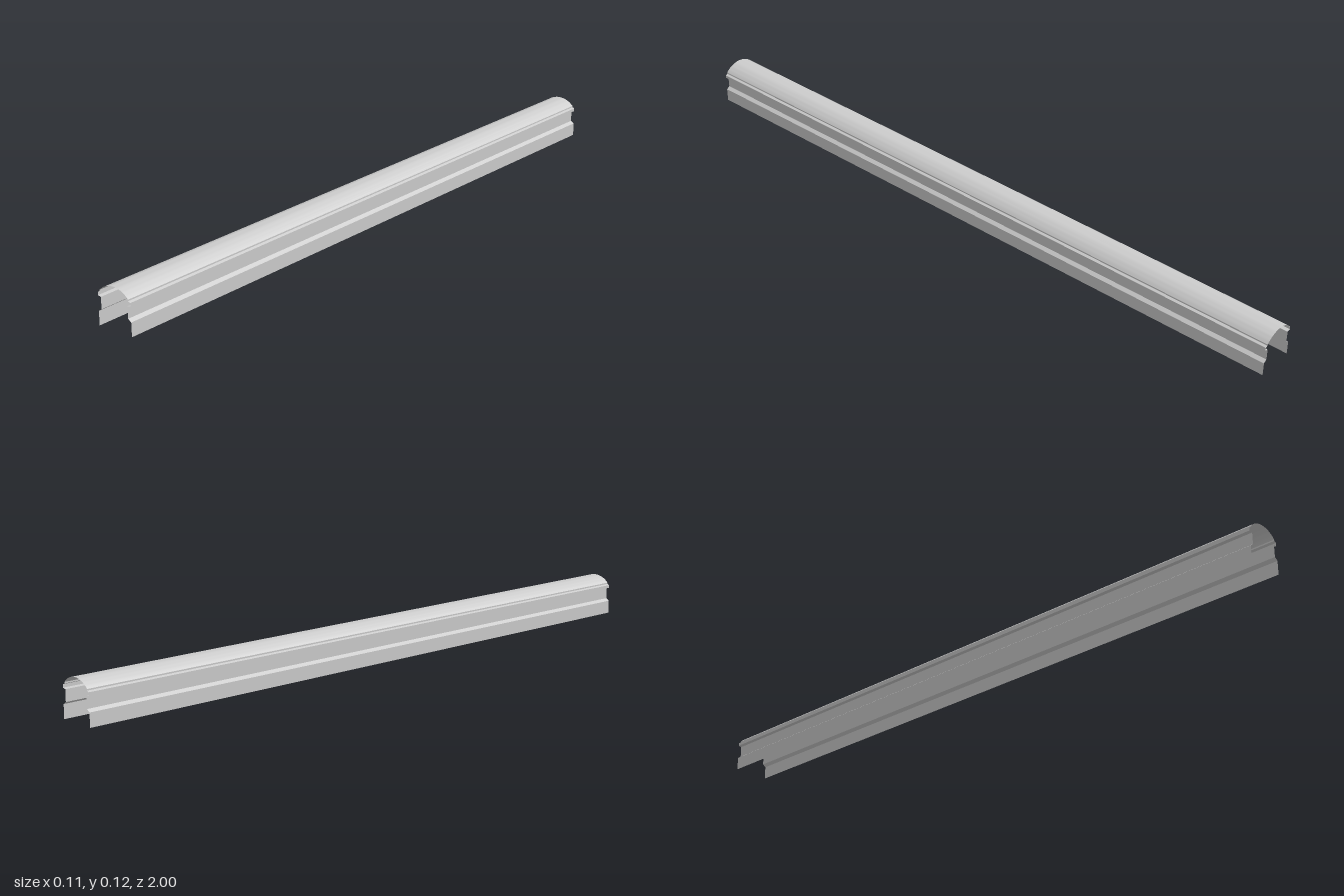
import * as THREE from 'three';
import { toCreasedNormals } from 'three/addons/utils/BufferGeometryUtils.js';

const LENGTH = 2;
const material = new THREE.MeshStandardMaterial({ color: 0xcccccc, side: THREE.DoubleSide });

// Thin open sheet: a cross-section [x, y] swept along z
function sheet(name, profile) {
  const positions = [];
  const index = [];
  profile.forEach(([x, y], i) => {
    positions.push(x, y, LENGTH / 2, x, y, -LENGTH / 2);
    if (i > 0) {
      const a = (i - 1) * 2;
      index.push(a, a + 1, a + 3, a, a + 3, a + 2);
    }
  });
  const geometry = new THREE.BufferGeometry();
  geometry.setAttribute('position', new THREE.Float32BufferAttribute(positions, 3));
  geometry.setIndex(index);
  const mesh = new THREE.Mesh(toCreasedNormals(geometry, 0.4), material);
  mesh.name = name;
  return mesh;
}

export function createModel() {
  const group = new THREE.Group();
  group.name = 'channelCover';

  // Side wall: skirt, sloped ledge, recessed web, lip and small groove under the roof
  const side = [
    [0.056, 0], [0.056, 0.039], [0.046, 0.046], [0.046, 0.079],
    [0.056, 0.081], [0.056, 0.09], [0.049, 0.093], [0.049, 0.097],
  ];
  group.add(sheet('leftWall', side));
  group.add(sheet('rightWall', side.map(([x, y]) => [-x, y]).reverse()));

  // Arched roof: circular arc through both wall tops and the crown
  const [halfWidth, edgeY] = side[side.length - 1];
  const rise = 0.118 - edgeY;
  const radius = (halfWidth ** 2 + rise ** 2) / (2 * rise);
  const halfAngle = Math.asin(halfWidth / radius);
  const roof = [];
  const segments = 16;
  for (let i = 0; i <= segments; i++) {
    const angle = halfAngle * (1 - (2 * i) / segments);
    roof.push([radius * Math.sin(angle), 0.118 - radius * (1 - Math.cos(angle))]);
  }
  group.add(sheet('archedRoof', roof));

  return group;
}
